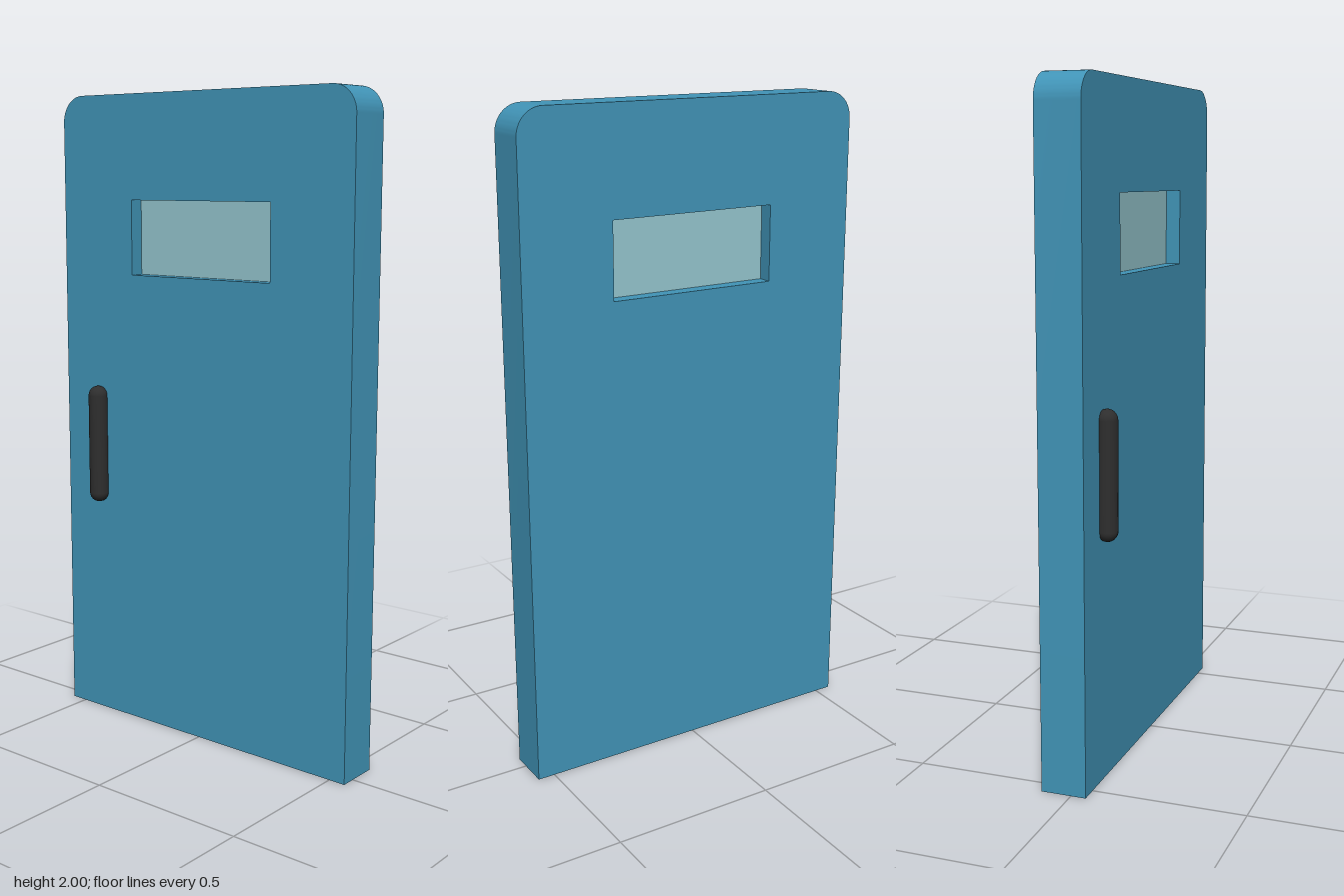
import * as THREE from 'three';
import { toCreasedNormals } from 'three/addons/utils/BufferGeometryUtils.js';

const BACK = -0.09, DEPTH = 0.135;
const HALF_WIDTH = 0.553, HEIGHT = 2, CORNER = 0.08;
const WINDOW = { halfWidth: 0.267, bottom: 1.45, top: 1.68 };

function createMaterial(name, color) {
  const material = new THREE.MeshStandardMaterial({ color });
  material.name = name;
  return material;
}

// Door outline with rounded top corners and a rectangular window opening
function createDoorShape() {
  const shape = new THREE.Shape();
  shape.moveTo(-HALF_WIDTH, 0);
  shape.lineTo(HALF_WIDTH, 0);
  shape.lineTo(HALF_WIDTH, HEIGHT - CORNER);
  shape.absarc(HALF_WIDTH - CORNER, HEIGHT - CORNER, CORNER, 0, Math.PI / 2, false);
  shape.lineTo(-HALF_WIDTH + CORNER, HEIGHT);
  shape.absarc(-HALF_WIDTH + CORNER, HEIGHT - CORNER, CORNER, Math.PI / 2, Math.PI, false);
  shape.closePath();

  const hole = new THREE.Path();
  hole.moveTo(-WINDOW.halfWidth, WINDOW.bottom);
  hole.lineTo(-WINDOW.halfWidth, WINDOW.top);
  hole.lineTo(WINDOW.halfWidth, WINDOW.top);
  hole.lineTo(WINDOW.halfWidth, WINDOW.bottom);
  hole.closePath();
  shape.holes.push(hole);
  return shape;
}

export function createModel() {
  const door = new THREE.Group();
  door.name = 'door';

  const add = (name, geometry, material, x, y, z) => {
    const mesh = new THREE.Mesh(geometry, material);
    mesh.name = name;
    mesh.position.set(x, y, z);
    door.add(mesh);
  };

  // Solid slab
  const slab = new THREE.ExtrudeGeometry(createDoorShape(), {
    depth: DEPTH, bevelEnabled: false, curveSegments: 12,
  });
  add('doorPanel', toCreasedNormals(slab, 0.5), createMaterial('blue paint', 0x4194b7), 0, 0, BACK);

  // Glass set into the middle third of the opening
  const glass = new THREE.BoxGeometry(WINDOW.halfWidth * 2, WINDOW.top - WINDOW.bottom, DEPTH / 3);
  add('windowGlass', glass, createMaterial('pale glass', 0x95c6ce),
    0, (WINDOW.bottom + WINDOW.top) / 2, BACK + DEPTH / 2);

  // Upright handle partly sunk into the front face
  const radius = 0.031, length = 0.38;
  const handle = new THREE.CapsuleGeometry(radius, length - 2 * radius, 6, 20);
  add('handle', handle, createMaterial('black handle', 0x2e2e2e), -0.408, 0.9, 0.058);

  return door;
}
